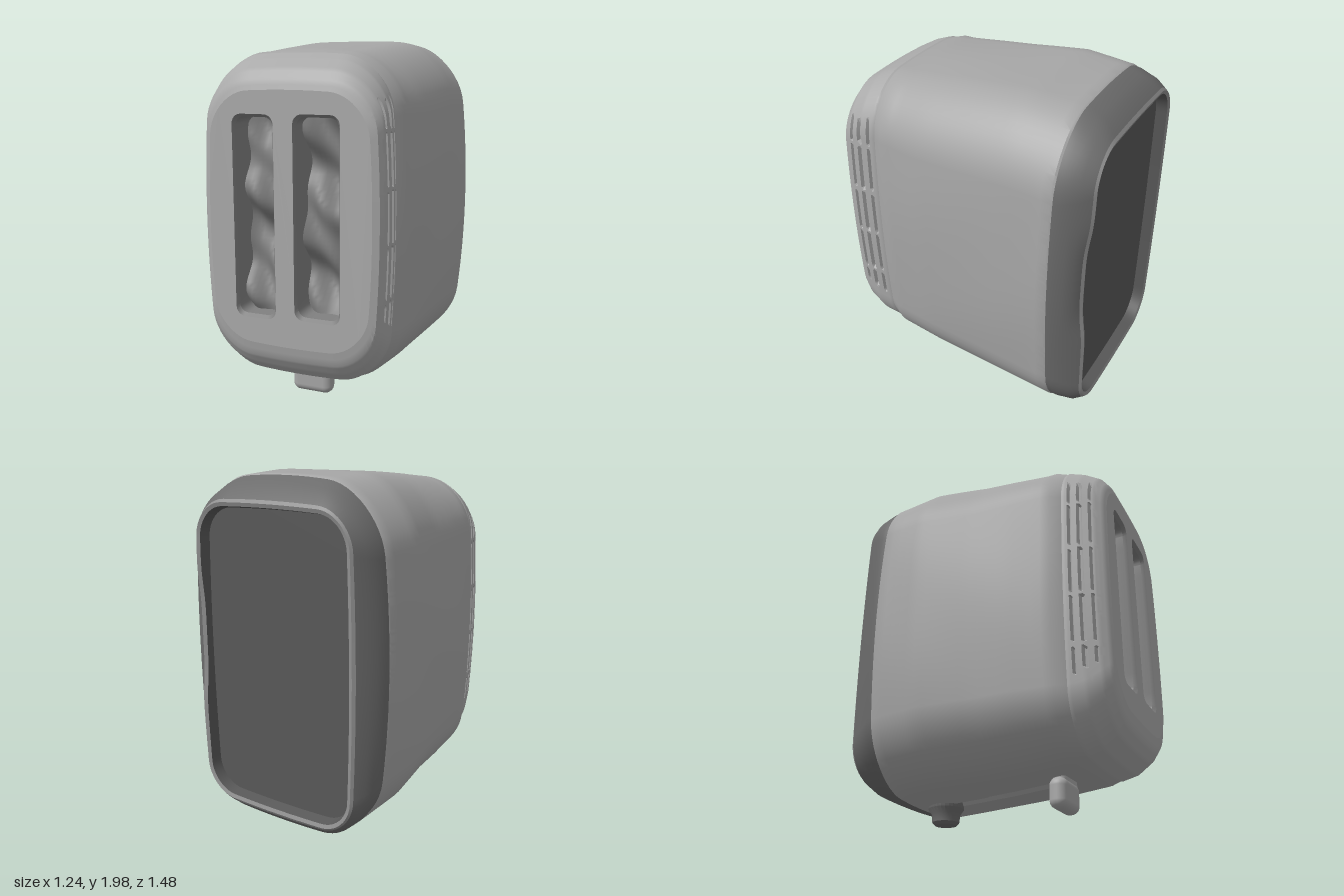
import * as THREE from 'three';
import { toCreasedNormals } from 'three/addons/utils/BufferGeometryUtils.js';
import { RoundedBoxGeometry } from 'three/addons/geometries/RoundedBoxGeometry.js';

const paint = (color) => new THREE.MeshStandardMaterial({ color, side: THREE.DoubleSide });
const frontGrey = paint(0xaaaaaa), bodyGrey = paint(0xa6a6a6), capGrey = paint(0x6c6c6c);
const lipGrey = paint(0x909090), panelGrey = paint(0x585858), slotGrey = paint(0x808080);

// Rounded rectangle, counter-clockwise, whose sides bow outwards a little.
function ring(cx, y0, y1, w, r, bow, nSide, nEnd, nCorner) {
  const cy = (y0 + y1) / 2, h = (y1 - y0) / 2, pts = [];
  const corners = [[1, -1, nSide], [1, 1, nEnd], [-1, 1, nSide], [-1, -1, nEnd]];
  corners.forEach(([sx, sy, n], k) => {
    const px = sx * (w - r), py = sy * (h - r);
    for (let i = 0; i <= nCorner; i++) {
      const a = (k - 1 + i / nCorner) * Math.PI / 2;
      pts.push([px + r * Math.cos(a), py + r * Math.sin(a)]);
    }
    const [ax, ay] = pts[pts.length - 1];
    const [nx, ny] = corners[(k + 1) % 4];
    const a = k * Math.PI / 2;
    const bx = nx * (w - r) + r * Math.cos(a), by = ny * (h - r) + r * Math.sin(a);
    for (let i = 1; i < n; i++) pts.push([ax + (bx - ax) * i / n, ay + (by - ay) * i / n]);
  });
  return pts.map(([x, y]) => new THREE.Vector2(
    cx + x * (1 - bow * (y / h) ** 2),
    cy + y * (1 - bow * 0.45 * (x / w) ** 2)));
}

// Skin closed rings that run from front to back.
function loft(rows, rule = (p) => p) {
  const n = rows[0].pts.length, pos = [], idx = [];
  rows.forEach(({ z, pts }) => pts.forEach((q) => {
    const p = rule(new THREE.Vector3(q.x, q.y, z));
    pos.push(p.x, p.y, p.z);
  }));
  for (let j = 0; j < rows.length - 1; j++) {
    for (let i = 0; i < n; i++) {
      const a = j * n + i, b = j * n + (i + 1) % n;
      idx.push(a, a + n, b, b, a + n, b + n);
    }
  }
  const g = new THREE.BufferGeometry();
  g.setAttribute('position', new THREE.Float32BufferAttribute(pos, 3));
  g.setIndex(idx);
  return toCreasedNormals(g, 0.6);
}

// Body sections: z, half width, bottom, top, corner radius, bow, centre x
const sections = [
  [0.735, 0.445, 0.43, 1.74, 0.21, 0.07, 0.03],
  [0.72, 0.475, 0.355, 1.79, 0.23, 0.07, 0.033],
  [0.68, 0.5, 0.295, 1.845, 0.25, 0.08, 0.03],
  [0.6, 0.515, 0.235, 1.89, 0.26, 0.08, 0.022],
  [0.52, 0.518, 0.208, 1.918, 0.27, 0.08, 0.01],
  [0.51, 0.515, 0.21, 1.915, 0.27, 0.08, 0.008], // front seam
  [0.45, 0.549, 0.192, 1.93, 0.28, 0.09, 0.008],
  [0.2, 0.58, 0.163, 1.955, 0.3, 0.11, 0.01],
  [0, 0.592, 0.145, 1.972, 0.31, 0.12, 0.01],
  [-0.3, 0.618, 0.123, 1.993, 0.32, 0.12, -0.003],
  [-0.56, 0.61, 0.108, 1.982, 0.32, 0.12, 0.01],
  [-0.57, 0.605, 0.112, 1.976, 0.32, 0.12, 0.01], // rear seam
  [-0.6, 0.598, 0.113, 1.965, 0.31, 0.11, 0.008],
  [-0.68, 0.55, 0.135, 1.918, 0.26, 0.07, 0.003],
  [-0.73, 0.505, 0.182, 1.865, 0.2, 0.05, 0],
  [-0.742, 0.49, 0.2, 1.848, 0.18, 0.04, 0], // rim
  [-0.735, 0.47, 0.22, 1.828, 0.16, 0.04, 0],
  [-0.675, 0.46, 0.232, 1.816, 0.15, 0.04, 0],
];
const bodyRing = ([, w, y0, y1, r, bow, cx]) => ring(cx, y0, y1, w, r, bow, 90, 30, 12);

// Vent grooves, lever track, rear rim dip and slight unevenness
function bodyRule(p) {
  const { x, y, z } = p;
  const inVent = [0.55, 0.605, 0.66].some((c, k) => Math.abs(z - c) < 0.008 &&
    y > 0.56 + k * 0.03 && y < 1.7 && (y + 0.42) % 0.28 > 0.03);
  if (inVent && Math.abs(x) > 0.4) p.x -= Math.sign(x) * 0.018;
  if (y < 0.3 && Math.abs(x) < 0.03 && z > -0.36 && z < 0.3) p.y += 0.02;
  if (z < -0.68 && x > 0.35) {
    const rim = Math.min(1, (-0.68 - z) / 0.05);
    p.z += 0.025 * rim * Math.exp(-(((y - 1.12) / 0.3) ** 4));
  }
  if (z < 0.44 && z > -0.55) {
    const wave = 0.004 * Math.sin(5 * z + 3 * y) * Math.sin(9 * x + 4 * y);
    p.x += wave * Math.sign(x);
    p.y += wave;
  }
  return p;
}

// Rings for a run of sections, finely spaced where the vents are
function bodyRows(from, to) {
  const rows = [];
  for (let k = from; k <= to; k++) {
    const s = sections[k], e = sections[k + 1];
    rows.push({ z: s[0], pts: bodyRing(s) });
    if (k === to) break;
    const n = Math.max(1, Math.round(Math.abs(s[0] - e[0]) / (e[0] >= 0.5 ? 0.01 : 0.05)));
    for (let i = 1; i < n; i++) {
      const m = s.map((v, c) => v + (e[c] - v) * i / n);
      rows.push({ z: m[0], pts: bodyRing(m) });
    }
  }
  return rows;
}

export function createModel() {
  const model = new THREE.Group();
  const add = (name, geometry, material, x = 0, y = 0, z = 0, parent = model) => {
    const mesh = new THREE.Mesh(geometry, material);
    mesh.name = name;
    mesh.position.set(x, y, z);
    parent.add(mesh);
  };

  // Outer skin in bands, front to back
  [['frontHousing', 0, 5, frontGrey], ['bodyShell', 5, 11, bodyGrey],
    ['rearCap', 11, 14, capGrey], ['rearLip', 14, 16, lipGrey], ['recessWall', 16, 17, panelGrey]]
    .forEach(([name, from, to, material]) => add(name, loft(bodyRows(from, to), bodyRule), material));

  // Front face with two bread slots
  const face = new THREE.Shape(bodyRing(sections[0]));
  const slots = [[-0.16, 0.57, 1.62, 0.115], [0.185, 0.585, 1.625, 0.125]];
  slots.forEach(([cx, y0, y1, w], k) => {
    const mouth = ring(cx, y0, y1, w, 0.05, 0, 12, 4, 5);
    const inner = ring(cx, y0 + 0.015, y1 - 0.015, w - 0.012, 0.045, 0, 12, 4, 5);
    face.holes.push(new THREE.Path(mouth));
    add('slotWall', loft([{ z: 0.735, pts: mouth }, { z: 0.715, pts: inner },
      { z: 0.5, pts: inner }]), slotGrey);

    // Lumpy floor inside the slot
    const floor = new THREE.PlaneGeometry(2 * w - 0.02, y1 - y0 - 0.03, 10, 44);
    const p = floor.attributes.position;
    for (let i = 0; i < p.count; i++) {
      const x = p.getX(i), y = p.getY(i);
      p.setZ(i, 0.035 * Math.sin(11 * y + 2 * k) + 0.025 * Math.sin(23 * y + 17 * x) +
        0.015 * Math.cos(40 * x + 9 * y));
    }
    floor.computeVertexNormals();
    add('slotFloor', floor, slotGrey, cx, (y0 + y1) / 2, 0.59);
  });
  add('frontFace', new THREE.ShapeGeometry(face), frontGrey, 0, 0, 0.735);

  // Recessed base panel at the rear
  const last = sections[sections.length - 1];
  add('basePanel', new THREE.ShapeGeometry(new THREE.Shape(bodyRing(last))), panelGrey, 0, 0, last[0]);

  // Lever on the underside
  const lever = new THREE.Group();
  lever.name = 'lever';
  model.add(lever);
  add('leverPaddle', new RoundedBoxGeometry(0.24, 0.165, 0.1, 4, 0.045), bodyGrey, -0.03, 0.093, 0.3, lever);
  add('leverStem', new RoundedBoxGeometry(0.2, 0.12, 0.08, 3, 0.03), bodyGrey, -0.02, 0.16, 0.3, lever);

  // Browning knob on the underside
  const knob = [[0, 0], [0.06, 0], [0.075, 0.015], [0.08, 0.06], [0.1, 0.09], [0.1, 0.16]]
    .map(([x, y]) => new THREE.Vector2(x, y));
  add('browningKnob', toCreasedNormals(new THREE.LatheGeometry(knob, 28), 0.6), capGrey, 0.01, 0.015, -0.43);

  return model;
}
